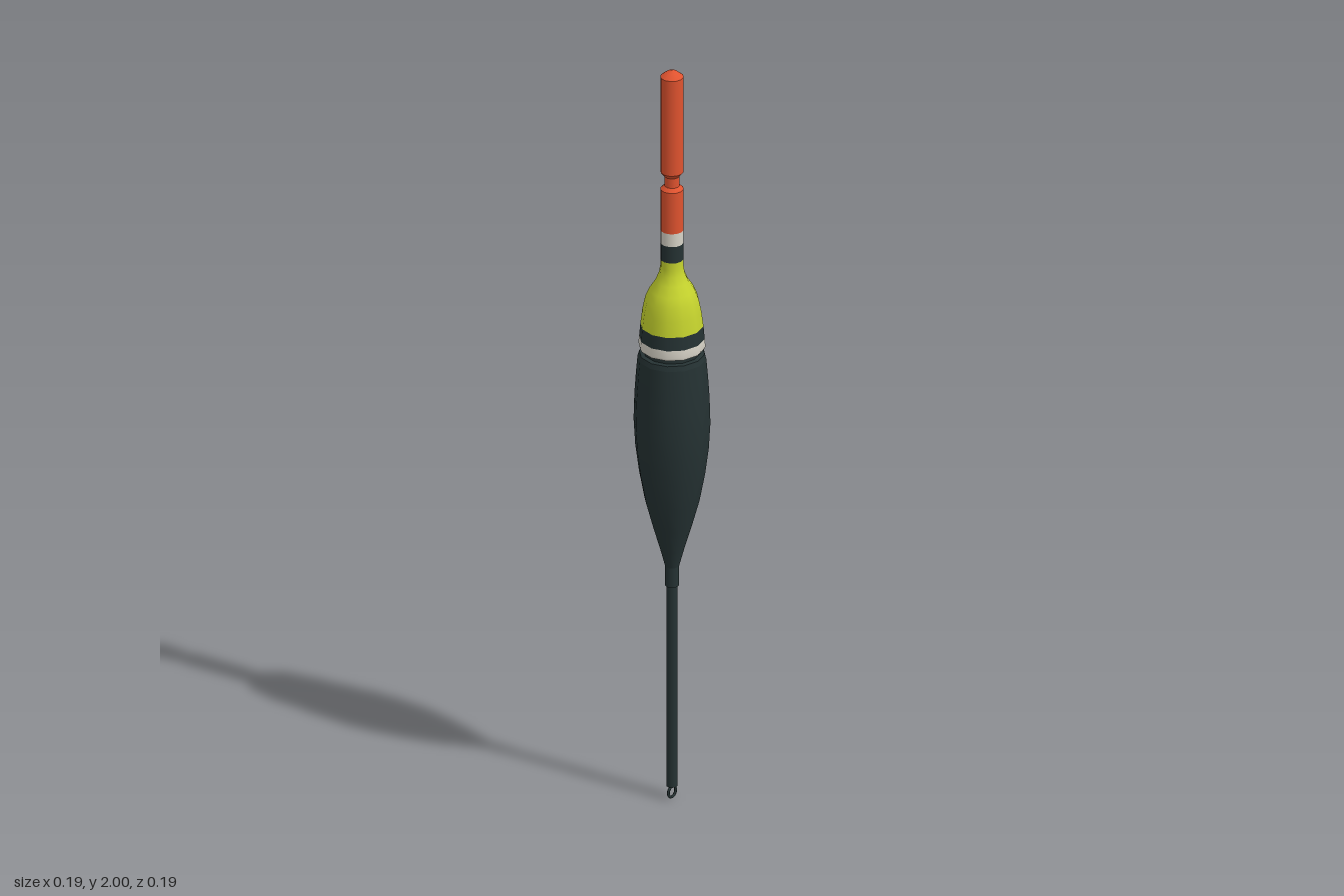
import * as THREE from 'three';

export function createModel() {
  const model = new THREE.Group();
  model.name = 'fishingFloat';

  const paint = (name, color) => {
    const m = new THREE.MeshStandardMaterial({ color });
    m.name = name;
    return m;
  };
  const orange = paint('orange', 0xe0532f);
  const yellow = paint('yellow', 0xc6d42e);
  const dark = paint('darkGreenBlack', 0x253233);
  const white = paint('offWhite', 0xd8d4c8);

  // Each section is one turned profile, listed bottom to top as [radius, height];
  // separate profiles keep a sharp edge where they meet.
  const turn = (name, material, ...profiles) => {
    const part = new THREE.Group();
    part.name = name;
    profiles.forEach((profile, i) => {
      const points = profile.map(([r, y]) => new THREE.Vector2(r, y));
      const mesh = new THREE.Mesh(new THREE.LatheGeometry(points, 12), material);
      mesh.name = name + 'Section' + (i + 1);
      part.add(mesh);
    });
    model.add(part);
  };

  // Line eye at the foot
  const eye = new THREE.Mesh(new THREE.TorusGeometry(0.0145, 0.0035, 6, 16), dark);
  eye.name = 'lineEye';
  eye.position.y = 0.023;
  eye.rotation.z = Math.PI / 2;
  model.add(eye);

  // Thin stem and its sleeve
  turn('stem', dark, [[0, 0.04], [0.014, 0.04]], [[0.014, 0.04], [0.014, 0.6]]);
  turn('stemSleeve', dark, [[0.013, 0.59], [0.0175, 0.59]], [[0.0175, 0.59], [0.0175, 0.65]]);

  // Buoyant body
  turn('body', dark,
    [[0.0175, 0.643], [0.03, 0.69], [0.049, 0.755], [0.068, 0.825], [0.082, 0.9],
      [0.091, 0.97], [0.095, 1.04], [0.093, 1.11], [0.089, 1.17], [0.085, 1.215]],
    [[0.085, 1.215], [0.081, 1.228]],
    [[0.081, 1.228], [0.068, 1.23]]);

  // Groove and collar bands
  turn('groove', dark, [[0.07, 1.225], [0.07, 1.245]]);
  turn('collarWhiteBand', white,
    [[0.068, 1.24], [0.08, 1.243]],
    [[0.08, 1.243], [0.083, 1.25], [0.081, 1.27]]);
  turn('collarDarkBand', dark, [[0.081, 1.27], [0.078, 1.305]]);

  // Shoulder tapering into the antenna
  turn('shoulder', yellow,
    [[0.078, 1.305], [0.073, 1.345], [0.066, 1.378], [0.056, 1.402],
      [0.041, 1.425], [0.032, 1.447], [0.029, 1.465], [0.029, 1.485]]);

  // Antenna bands
  turn('antennaDarkBand', dark, [[0.029, 1.485], [0.029, 1.53]]);
  turn('antennaWhiteBand', white, [[0.029, 1.53], [0.029, 1.565]]);

  // Antenna base, narrow neck and tip
  turn('antennaBase', orange,
    [[0.029, 1.565], [0.029, 1.677]],
    [[0.029, 1.677], [0.019, 1.686]]);
  turn('antennaNeck', orange, [[0.019, 1.686], [0.019, 1.712]]);
  turn('antennaTip', orange,
    [[0.019, 1.712], [0.029, 1.724]],
    [[0.029, 1.724], [0.029, 1.984]],
    [[0.029, 1.984], [0.014, 1.996], [0, 2]]);

  return model;
}
